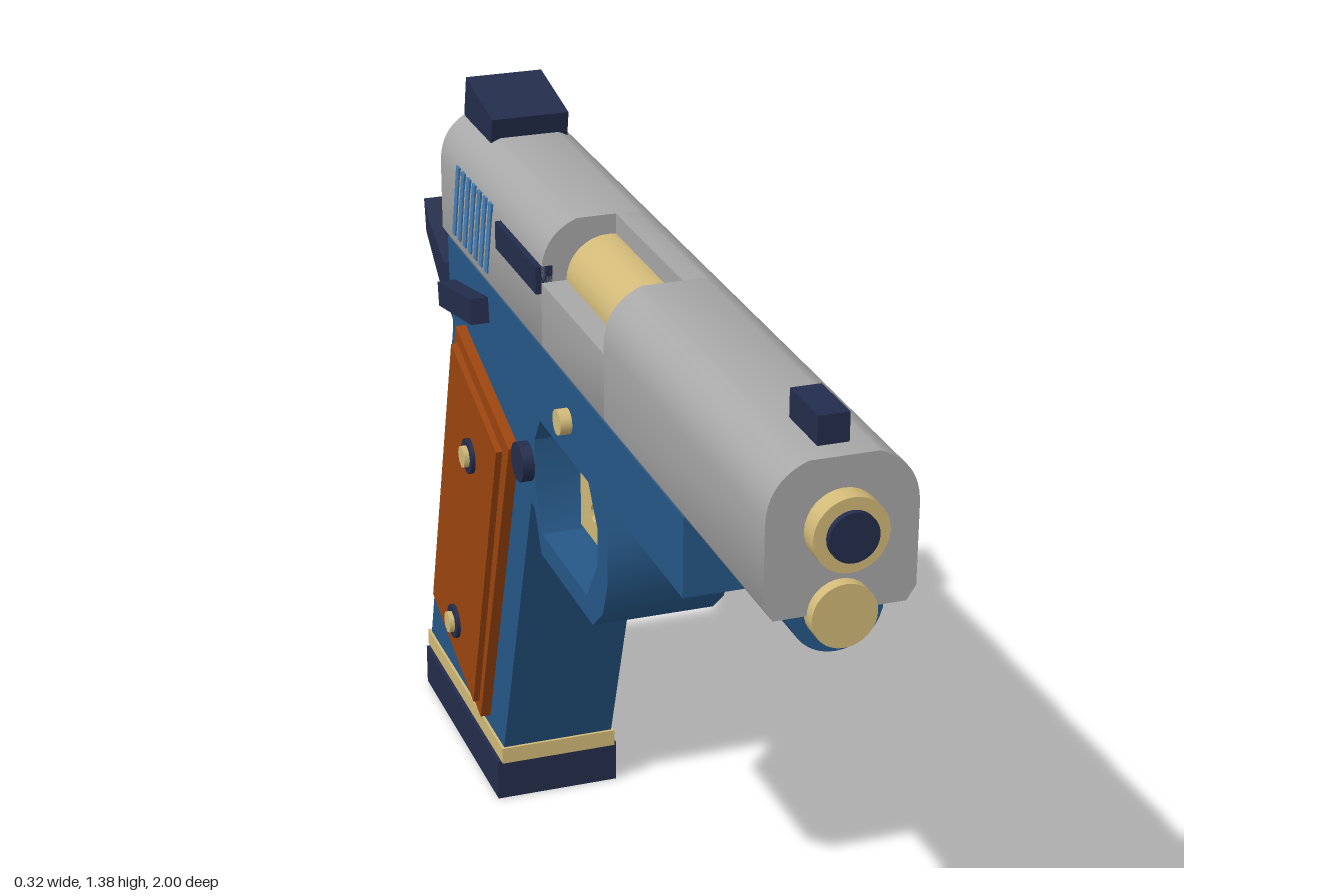
import * as THREE from 'three';
import { toCreasedNormals } from 'three/addons/utils/BufferGeometryUtils.js';

const material = (name, color, side = THREE.FrontSide) => {
  const m = new THREE.MeshStandardMaterial({ color, side });
  m.name = name;
  return m;
};

export function createModel() {
  const group = new THREE.Group();
  const blue = material('frame blue', 0x265887);
  const lightBlue = material('serration blue', 0x4680b8);
  const grey = material('slide grey', 0xa8a8a8);
  const navy = material('dark navy', 0x232d4c);
  const gold = material('gold', 0xd2ba78);
  const orange = material('grip orange', 0x9c450f);

  const add = (name, geometry, mat) => {
    const mesh = new THREE.Mesh(geometry, mat);
    mesh.name = name;
    group.add(mesh);
    return mesh;
  };
  const outline = (points, Type = THREE.Shape) => new Type(points.map(([a, b]) => new THREE.Vector2(a, b)));

  // Side profile given as (z, y), extruded across x from x0 to x1
  const sidePart = (name, profile, x0, x1, mat) => {
    const shape = Array.isArray(profile) ? outline(profile) : profile;
    const g = new THREE.ExtrudeGeometry(shape, { depth: x1 - x0, bevelEnabled: false, curveSegments: 10 });
    g.rotateY(-Math.PI / 2).translate(x1, 0, 0);
    return add(name, toCreasedNormals(g, 0.5), mat);
  };
  // Section given as (x, y), extruded along z from z0 to z1
  const lengthPart = (name, shape, z0, z1, mat) => {
    const g = new THREE.ExtrudeGeometry(shape, { depth: z1 - z0, bevelEnabled: false, curveSegments: 12 });
    g.translate(0, 0, z0);
    return add(name, toCreasedNormals(g, 0.6), mat);
  };
  const box = (name, x0, x1, y0, y1, z0, z1, mat) => {
    const g = new THREE.BoxGeometry(x1 - x0, y1 - y0, z1 - z0);
    return add(name, g.translate((x0 + x1) / 2, (y0 + y1) / 2, (z0 + z1) / 2), mat);
  };
  const rodZ = (name, r, y, z0, z1, mat) => {
    const g = new THREE.CylinderGeometry(r, r, z1 - z0, 32);
    return add(name, g.rotateX(Math.PI / 2).translate(0, y, (z0 + z1) / 2), mat);
  };
  const rodX = (name, r, halfLength, y, z, mat, sides = 24) => {
    const g = new THREE.CylinderGeometry(r, r, 2 * halfLength, sides);
    return add(name, g.rotateZ(Math.PI / 2).translate(0, y, z), mat);
  };

  // Slide: rounded top, with one segment cut away for the port
  const section = (cut) => {
    const s = new THREE.Shape();
    s.moveTo(-0.105, 1.062);
    s.lineTo(0.105, 1.062);
    s.lineTo(0.12, 1.085);
    s.lineTo(0.12, 1.215);
    s.bezierCurveTo(0.12, 1.265, 0.095, 1.295, 0.055, 1.31);
    if (cut) {
      s.lineTo(0.015, 1.31);
      s.lineTo(0.015, 1.2);
      s.lineTo(-0.12, 1.2);
    } else {
      s.lineTo(-0.055, 1.31);
      s.bezierCurveTo(-0.095, 1.295, -0.12, 1.265, -0.12, 1.215);
    }
    s.lineTo(-0.12, 1.085);
    s.closePath();
    return s;
  };
  lengthPart('slideRear', section(false), -0.725, -0.1, grey);
  lengthPart('slidePort', section(true), -0.1, 0.235, grey);
  lengthPart('slideFront', section(false), 0.235, 0.955, grey);

  // Barrel, muzzle and recoil rod
  rodZ('chamber', 0.075, 1.2, -0.12, 0.25, gold);
  rodZ('muzzleRing', 0.06, 1.2, 0.9, 0.99, gold);
  rodZ('bore', 0.04, 1.2, 0.9, 1.0, navy);
  rodZ('dustCover', 0.075, 1.065, 0.5, 0.943, blue);
  rodZ('recoilPlug', 0.052, 1.063, 0.9, 0.975, gold);

  // Slanted serrations on both flanks of the slide
  for (const x of [0.119, -0.123]) {
    for (let i = 0; i < 7; i++) {
      const z = -0.385 - i * 0.0345;
      sidePart('serration', [[z, 1.245], [z - 0.038, 1.1], [z - 0.056, 1.1], [z - 0.018, 1.245]], x, x + 0.004, lightBlue);
    }
  }
  box('extractor', -0.13, -0.1, 1.18, 1.23, -0.34, -0.1, navy);

  // Frame with grip and trigger guard
  const frame = outline([
    [0.59, 1.065], [-0.725, 1.065], [-0.725, 1.0], [-0.705, 0.89], [-0.935, 0.112], [-0.417, 0.112],
    [-0.21, 0.735], [-0.19, 0.733], [-0.152, 0.658], [0.142, 0.658], [0.195, 0.705],
    [0.222, 0.775], [0.222, 0.85], [0.19, 0.925], [0.59, 0.925],
  ]);
  frame.holes.push(outline([
    [0.12, 0.92], [0.168, 0.855], [0.168, 0.785], [0.11, 0.7],
    [-0.147, 0.7], [-0.185, 0.78], [-0.185, 0.87], [-0.152, 0.92],
  ], THREE.Path));
  sidePart('frame', frame, -0.11, 0.11, blue);

  // Trigger with concave face and three holes
  const trigger = new THREE.Shape();
  trigger.moveTo(-0.005, 0.922);
  trigger.quadraticCurveTo(-0.065, 0.81, -0.005, 0.707);
  trigger.lineTo(-0.152, 0.707);
  trigger.lineTo(-0.152, 0.922);
  trigger.closePath();
  for (const [z, y] of [[-0.078, 0.86], [-0.088, 0.811], [-0.078, 0.76]]) {
    const hole = new THREE.Path();
    hole.absarc(z, y, 0.016, 0, Math.PI * 2);
    trigger.holes.push(hole);
  }
  sidePart('trigger', trigger, -0.035, 0.035, gold);

  // Controls
  rodX('magazineButton', 0.037, 0.132, 0.813, -0.222, navy);
  rodX('slideStopPin', 0.023, 0.131, 0.988, 0.012, gold);
  box('slideStop', 0.1, 0.135, 0.962, 1.007, -0.22, 0.005, navy);
  for (const [x0, x1] of [[0.1, 0.145], [-0.145, -0.1]]) {
    sidePart('safetyLever', [[-0.463, 1.038], [-0.682, 0.993], [-0.675, 0.947], [-0.457, 0.99]], x0, x1, navy);
  }

  // Grip panels in two steps, with screws
  const panel = [[-0.28, 0.813], [-0.617, 0.925], [-0.837, 0.252], [-0.507, 0.14]];
  const inner = panel.map(([z, y]) => [-0.56 + (z + 0.56) * 0.85, 0.533 + (y - 0.533) * 0.92]);
  sidePart('gripPanel', panel, -0.13, 0.13, orange);
  sidePart('gripPanelRaised', inner, -0.142, 0.142, orange);
  for (const [z, y] of [[-0.492, 0.712], [-0.627, 0.296]]) {
    rodX('screwCollar', 0.034, 0.15, y, z, navy);
    rodX('screwHead', 0.022, 0.16, y, z, gold, 8);
  }

  // Rounded backstrap, swept along the slanted rear of the grip
  const strap = new THREE.Shape();
  strap.moveTo(-0.08, 0.05);
  strap.lineTo(-0.08, -0.02);
  strap.bezierCurveTo(-0.08, -0.04, -0.06, -0.06, -0.03, -0.062);
  strap.lineTo(0.03, -0.062);
  strap.bezierCurveTo(0.06, -0.06, 0.08, -0.04, 0.08, -0.02);
  strap.lineTo(0.08, 0.05);
  strap.closePath();
  const strapGeometry = new THREE.ExtrudeGeometry(strap, { depth: 0.77, bevelEnabled: false });
  strapGeometry.rotateX(-Math.PI / 2).scale(1, 1, -1);
  // The mirror above flips the winding, so swap two corners of each face
  const p = strapGeometry.attributes.position;
  for (let i = 0; i < p.count; i += 3) {
    const a = new THREE.Vector3().fromBufferAttribute(p, i);
    const b = new THREE.Vector3().fromBufferAttribute(p, i + 1);
    p.setXYZ(i, b.x, b.y, b.z);
    p.setXYZ(i + 1, a.x, a.y, a.z);
  }
  strapGeometry.rotateX(0.325).translate(0, 0.135, -0.94);
  add('backstrap', toCreasedNormals(strapGeometry, 0.6), navy);

  // Beavertail
  sidePart('beavertail', [
    [-0.69, 1.0], [-0.72, 0.988], [-0.85, 0.963], [-0.955, 1.015], [-0.985, 1.05],
    [-0.975, 0.985], [-0.89, 0.915], [-0.755, 0.845], [-0.69, 0.87],
  ], -0.085, 0.085, navy);

  // Magazine floor
  box('magazineBand', -0.115, 0.115, 0.083, 0.116, -0.945, -0.41, gold);
  box('magazineBase', -0.122, 0.122, 0, 0.083, -0.935, -0.42, navy);

  // Hammer with a pierced spur
  const hammer = outline([
    [-0.745, 1.17], [-0.772, 1.242], [-0.848, 1.225], [-0.848, 1.172],
    [-0.805, 1.145], [-0.767, 1.033], [-0.715, 1.055],
  ]);
  hammer.holes.push(outline([[-0.78, 1.205], [-0.822, 1.21], [-0.827, 1.178], [-0.784, 1.168]], THREE.Path));
  sidePart('hammer', hammer, -0.03, 0.03, gold);

  // Sights
  sidePart('rearSight', [[-0.54, 1.348], [-0.705, 1.38], [-0.722, 1.305], [-0.7, 1.295], [-0.55, 1.295]], -0.073, 0.073, navy);
  box('frontSight', -0.025, 0.025, 1.3, 1.357, 0.803, 0.912, navy);
  rodZ('sightDot', 0.014, 1.336, 0.796, 0.81, orange);

  return group;
}
